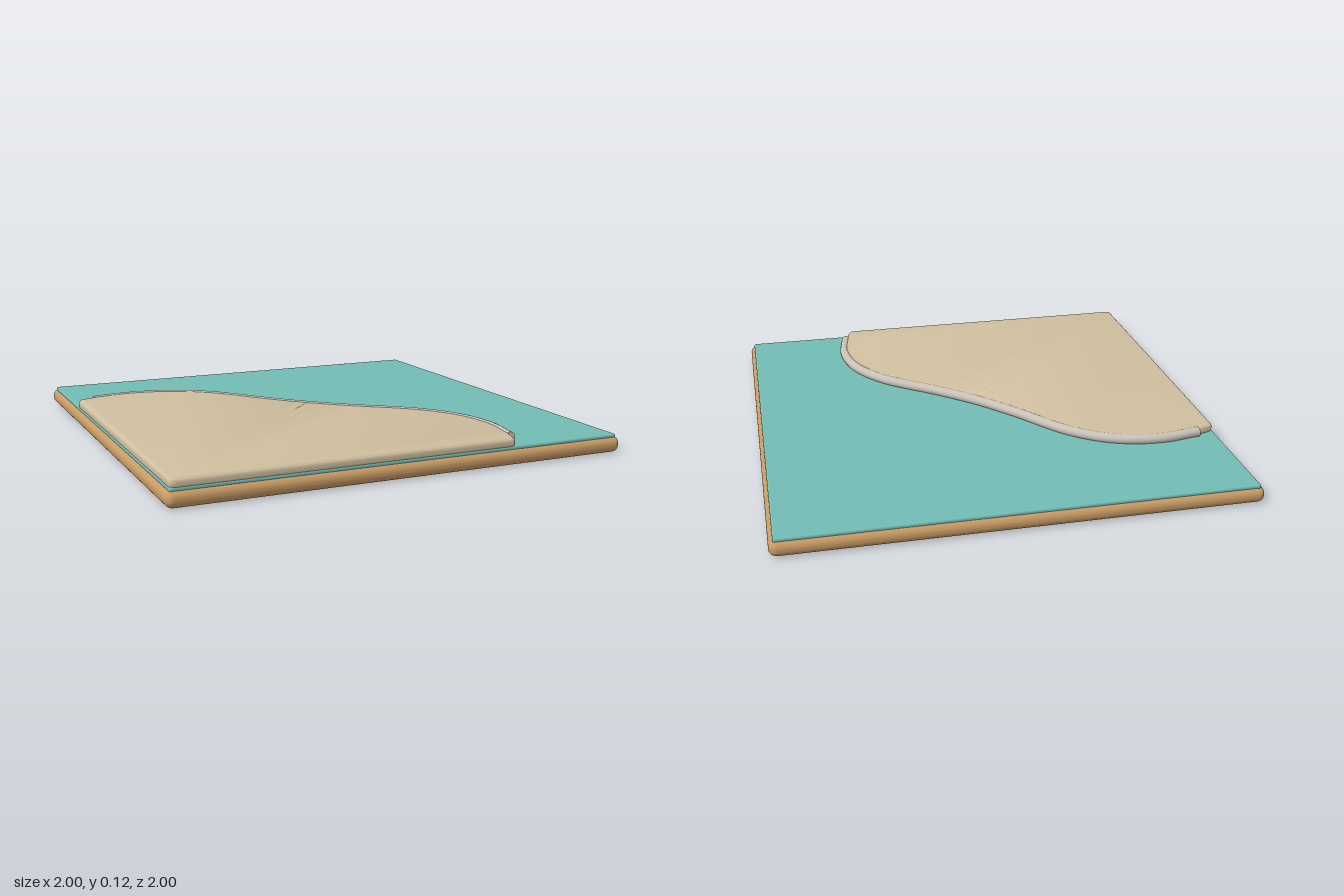
import * as THREE from 'three';
import { RoundedBoxGeometry } from 'three/addons/geometries/RoundedBoxGeometry.js';
import { toCreasedNormals } from 'three/addons/utils/BufferGeometryUtils.js';

const material = (name, color) => {
  const m = new THREE.MeshStandardMaterial({ color });
  m.name = name;
  return m;
};

export function createModel() {
  const group = new THREE.Group();
  group.name = 'shorelineTile';
  const wood = material('wood', 0xc89b65);
  const teal = material('teal', 0x72bcb4);
  const sand = material('sand', 0xd0bf9f);
  const stone = material('stone', 0xc9c1b8);

  const add = (name, geometry, mat, y = 0) => {
    const mesh = new THREE.Mesh(geometry, mat);
    mesh.name = name;
    mesh.position.y = y;
    group.add(mesh);
    return mesh;
  };

  // Wooden board with fully rounded edges, and the water sheet on it
  add('baseBoard', new RoundedBoxGeometry(2, 0.068, 2, 6, 0.032), wood, 0.034);
  add('waterSheet', new RoundedBoxGeometry(1.964, 0.02, 1.964, 3, 0.008), teal, 0.069);

  // Shoreline as x, z pairs, mirrored across the board's diagonal
  const half = [[-0.9, -0.505], [-0.71, -0.53], [-0.52, -0.492], [-0.35, -0.38], [-0.155, -0.14]];
  const mirrored = half.map(([x, z]) => [-z, -x]).reverse();
  const shore = [...half, [-0.015, 0.015], ...mirrored];
  const curve = new THREE.CatmullRomCurve3(shore.map(([x, z]) => new THREE.Vector3(x, 0, z)));

  // Raised sand slab behind the shoreline (shape y is -z), with rounded edges
  const shape = new THREE.Shape();
  const r = 0.025;
  shape.moveTo(-0.98 + r, -0.98);
  shape.lineTo(0.46, -0.98);
  shape.quadraticCurveTo(0.478, -0.98, 0.485, -0.96);
  for (const p of curve.getPoints(90).reverse()) shape.lineTo(p.x, -p.z);
  shape.lineTo(-0.96, 0.485);
  shape.quadraticCurveTo(-0.98, 0.478, -0.98, 0.46);
  shape.lineTo(-0.98, -0.98 + r);
  shape.quadraticCurveTo(-0.98, -0.98, -0.98 + r, -0.98);
  const slab = new THREE.ExtrudeGeometry(shape, {
    depth: 0.012, curveSegments: 6, bevelEnabled: true,
    bevelThickness: 0.018, bevelSize: 0.018, bevelOffset: -0.018, bevelSegments: 5,
  });
  slab.rotateX(-Math.PI / 2);
  add('sandSlab', toCreasedNormals(slab, 0.7), sand, 0.083);

  // Round stone edging along the shore, closed at both ends
  const radius = 0.022;
  const edgeY = 0.095;
  add('shoreEdging', new THREE.TubeGeometry(curve, 100, radius, 14), stone, edgeY);
  for (const [t, sign] of [[0, -1], [1, 1]]) {
    const cap = add('edgingCap', new THREE.CircleGeometry(radius, 14), stone);
    const dir = curve.getTangentAt(t).multiplyScalar(sign);
    cap.quaternion.setFromUnitVectors(new THREE.Vector3(0, 0, 1), dir);
    cap.position.copy(curve.getPointAt(t)).setY(edgeY);
  }
  return group;
}
